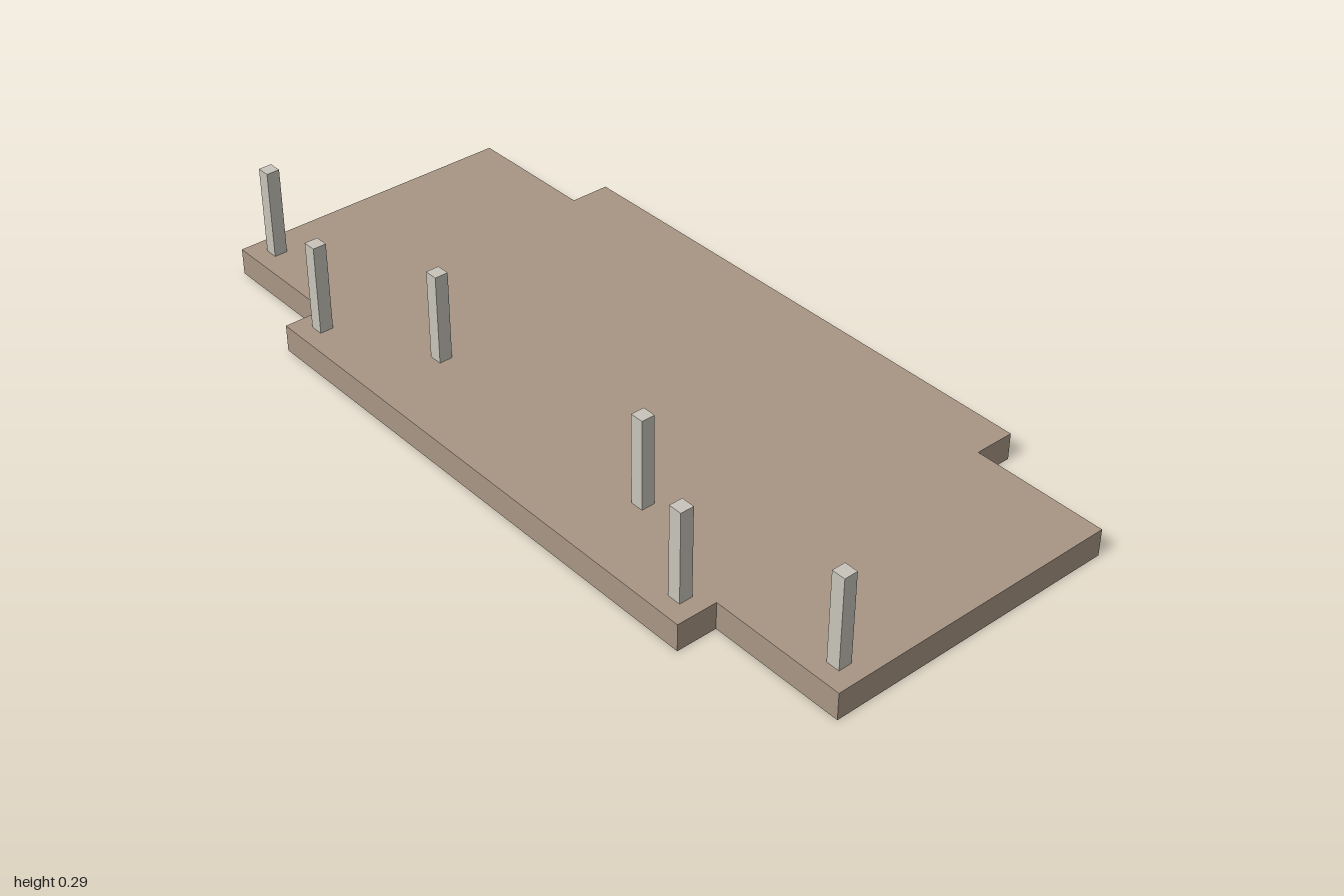
import * as THREE from 'three';

const SLAB_HEIGHT = 0.0667;
const POST_TOP = 0.289;
const POST_WIDTH = 0.033;

export function createModel() {
  const model = new THREE.Group();
  const slabMaterial = new THREE.MeshStandardMaterial({ color: 0xa89684 });
  const postMaterial = new THREE.MeshStandardMaterial({ color: 0xc8c4ba });

  // Floor slab: a rectangle with notched corners, extruded upwards
  const [endX, stepX, stepZ, sideZ] = [1, 0.665, 0.367, 0.467];
  const outline = new THREE.Shape([
    [endX, -stepZ], [endX, stepZ], [stepX, stepZ], [stepX, sideZ],
    [-stepX, sideZ], [-stepX, stepZ], [-endX, stepZ], [-endX, -stepZ],
    [-stepX, -stepZ], [-stepX, -sideZ], [stepX, -sideZ], [stepX, -stepZ],
  ].map(([x, z]) => new THREE.Vector2(x, z)));
  const slabGeometry = new THREE.ExtrudeGeometry(outline, { depth: SLAB_HEIGHT, bevelEnabled: false });
  slabGeometry.rotateX(-Math.PI / 2);
  const slab = new THREE.Mesh(slabGeometry, slabMaterial);
  slab.name = 'floorSlab';
  model.add(slab);

  // Square posts near the front edge, mirrored left and right
  const postHeight = POST_TOP - SLAB_HEIGHT;
  const postGeometry = new THREE.BoxGeometry(POST_WIDTH, postHeight, POST_WIDTH);
  const posts = [['inner', 0.34, 0.275], ['middle', 0.606, 0.408], ['outer', 0.94, 0.308]];
  for (const [place, x, z] of posts) {
    for (const side of [1, -1]) {
      const post = new THREE.Mesh(postGeometry, postMaterial);
      post.name = `${place}Post${side > 0 ? 'Left' : 'Right'}`;
      post.position.set(side * x, SLAB_HEIGHT + postHeight / 2, z);
      model.add(post);
    }
  }
  return model;
}
